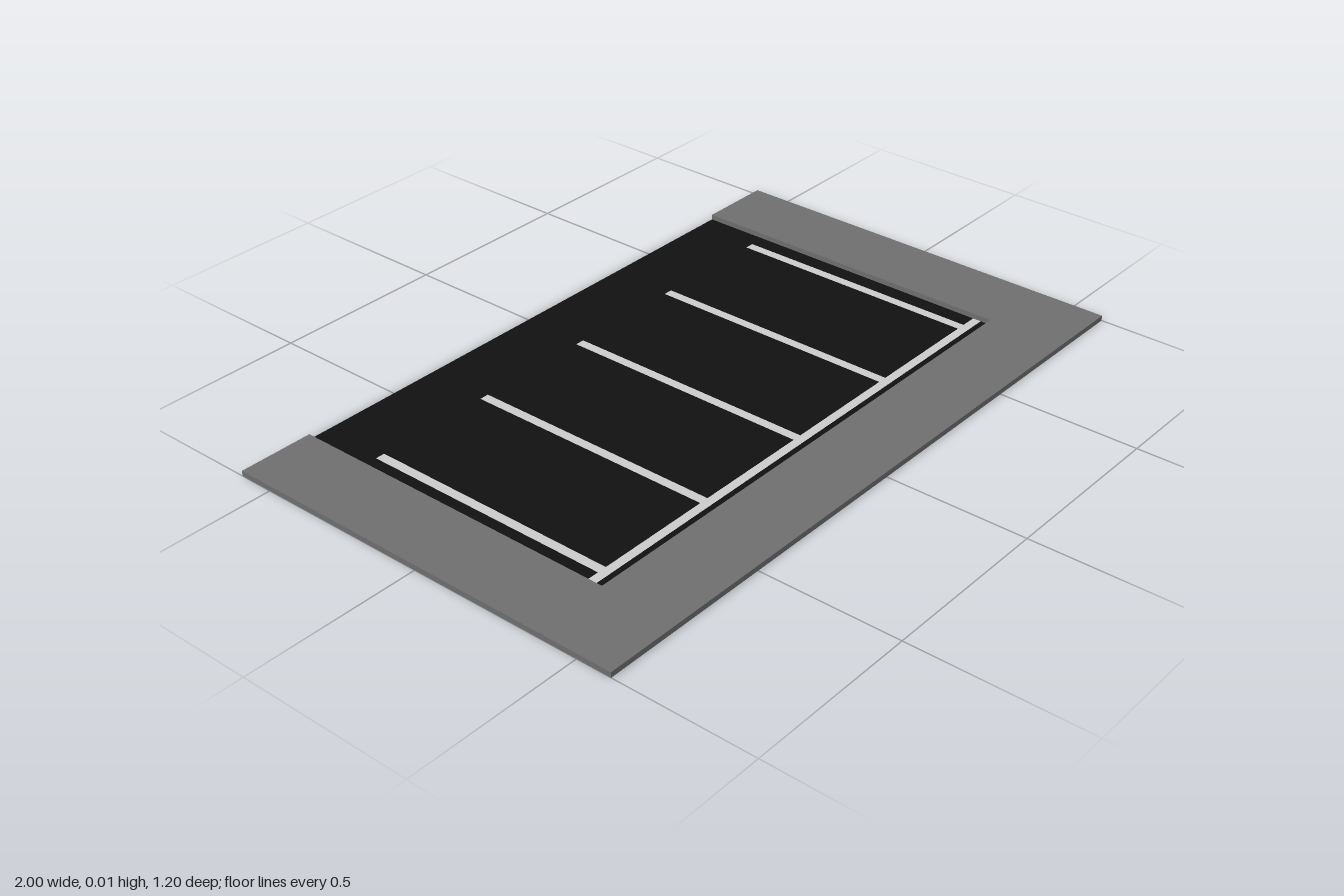
import * as THREE from 'three';

const HEIGHT = 0.015;          // kerb height above the asphalt
const IN = 0.785;              // half width of the parking area
const BACK = 0.6, FRONT = -0.6, INNER_FRONT = -0.38; // plan coordinates (plan y = -z)

const material = (color) => new THREE.MeshStandardMaterial({ color, side: THREE.DoubleSide });
const toShape = (pts) => new THREE.Shape(pts.map(([x, y]) => new THREE.Vector2(x, y)));

// Flat sheet from plan outlines, laid on the ground at height y
function sheet(name, outlines, y, mat) {
  const geometry = new THREE.ShapeGeometry(outlines.map(toShape));
  geometry.rotateX(-Math.PI / 2);
  geometry.translate(0, y, 0);
  const mesh = new THREE.Mesh(geometry, mat);
  mesh.name = name;
  return mesh;
}

// Vertical walls following a closed counter-clockwise outline
function walls(name, outline, height, mat) {
  const pos = [];
  outline.forEach(([ax, ay], i) => {
    const [bx, by] = outline[(i + 1) % outline.length];
    const a0 = [ax, 0, -ay], b0 = [bx, 0, -by];
    const a1 = [ax, height, -ay], b1 = [bx, height, -by];
    pos.push(...a0, ...b0, ...b1, ...a0, ...b1, ...a1);
  });
  const geometry = new THREE.BufferGeometry();
  geometry.setAttribute('position', new THREE.Float32BufferAttribute(pos, 3));
  geometry.computeVertexNormals();
  const mesh = new THREE.Mesh(geometry, mat);
  mesh.name = name;
  return mesh;
}

export function createModel() {
  const group = new THREE.Group();
  group.name = 'parkingLot';
  const concrete = material(0x6e6e6e);
  const asphalt = material(0x111111);
  const paint = material(0xcccccc);

  // Raised U-shaped pavement, open towards the back and hollow underneath
  const kerb = [
    [-1, FRONT], [1, FRONT], [1, BACK], [IN, BACK],
    [IN, INNER_FRONT], [-IN, INNER_FRONT], [-IN, BACK], [-1, BACK],
  ];
  const pavement = new THREE.Group();
  pavement.name = 'pavement';
  pavement.add(sheet('pavementTop', [kerb], HEIGHT, concrete));
  pavement.add(walls('pavementSides', kerb, HEIGHT, concrete));
  group.add(pavement);

  // Painted comb: one long line with five bay dividers
  const lineFront = -0.35, lineBack = -0.325, dividerEnd = 0.41, half = 0.0135;
  const comb = [];
  for (let i = 2; i >= -2; i--) {
    const x = i * 0.3625;
    comb.push([x + half, lineBack], [x + half, dividerEnd], [x - half, dividerEnd], [x - half, lineBack]);
  }
  group.add(sheet('bayMarkings',
    [[[-IN, lineFront], [IN, lineFront], [IN, lineBack], ...comb, [-IN, lineBack]]], 0, paint));

  // Asphalt fitted around the markings, so both share one surface
  group.add(sheet('asphalt', [
    [[-IN, INNER_FRONT], [IN, INNER_FRONT], [IN, lineFront], [-IN, lineFront]],
    [[IN, lineBack], [IN, BACK], [-IN, BACK], [-IN, lineBack], ...comb.slice().reverse()],
  ], 0, asphalt));

  return group;
}
